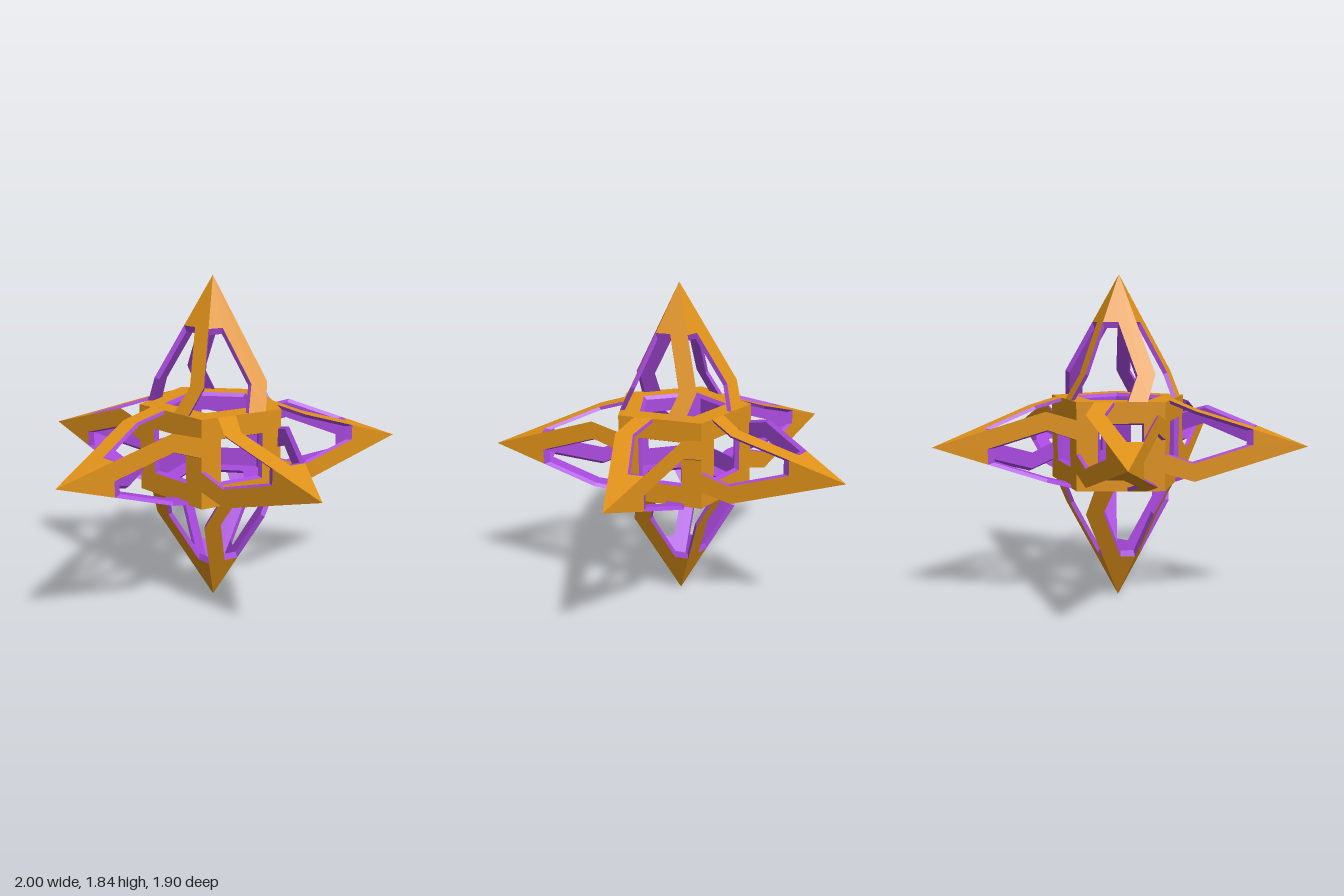
import * as THREE from 'three';

const R = 1.0515, H = 0.92, HALF = 0.24;      // star radius, spike height, core half height
const r = R * 0.382;                          // core pentagon radius
const SHRINK = 0.92;                          // inner skin of the hollow shell
const CENTRE = new THREE.Vector3(0, H, 0.1);

// Cut-out pattern of one spike face: x runs across from the strut edge, y from tip to base
const PATTERN = [[0, 0], [0.385, 0.385], [0.21, 0.385], [0.21, 0.8], [0.42, 1], [0.2, 1], [0, 0.79]]
  .map(p => new THREE.Vector2(...p));
const PATTERN_TRIS = THREE.ShapeUtils.triangulateShape(PATTERN, []);
const QUAD_TRIS = [[0, 1, 2], [0, 2, 3]];

const orange = new THREE.MeshStandardMaterial({ color: 0xe0921a, flatShading: true });
const purple = new THREE.MeshStandardMaterial({ color: 0xaa4ae0, flatShading: true });

const polar = (radius, angle, y) => new THREE.Vector3(radius * Math.sin(angle), y, radius * Math.cos(angle));
const centroid = pts => pts.reduce((s, p) => s.add(p), new THREE.Vector3()).divideScalar(pts.length);

function toMesh(points, material, name) {
  const geometry = new THREE.BufferGeometry().setFromPoints(points);
  geometry.computeVertexNormals();
  const mesh = new THREE.Mesh(geometry, material);
  mesh.name = name;
  return mesh;
}

// One flat plate: outer skin, inner skin and the rim between them
function addPlate(skin, lining, outer, inner, tris) {
  for (const [a, b, c] of tris) {
    skin.push(outer[a], outer[b], outer[c]);
    lining.push(inner[a], inner[c], inner[b]);
  }
  outer.forEach((p, i) => {
    const j = (i + 1) % outer.length;
    lining.push(p, inner[i], inner[j], p, inner[j], outer[j]);
  });
}

function shell(name, build) {
  const skin = [], lining = [];
  build(skin, lining);
  const group = new THREE.Group();
  group.name = name;
  group.add(toMesh(skin, orange, name + 'Skin'), toMesh(lining, purple, name + 'Lining'));
  return group;
}

// Openwork pyramid on a base listed counter-clockwise as seen from the tip
function spike(name, tip, base) {
  const mid = centroid(base);
  return shell(name, (skin, lining) => {
    base.forEach((b0, i) => {
      const b1 = base[(i + 1) % base.length];
      const outer = PATTERN.map(({ x, y }) => tip.clone()
        .addScaledVector(b1.clone().sub(tip), y)
        .addScaledVector(b0.clone().sub(b1), x));
      const inner = outer.map(p => mid.clone().lerp(p, SHRINK));
      addPlate(skin, lining, outer, inner, PATTERN_TRIS);
    });
  });
}

// Core wall with a window, as a ring of trapezoids
function addWindow(skin, lining, corners, inset) {
  const mid = centroid(corners);
  const hole = corners.map(p => p.clone().lerp(mid, inset));
  corners.forEach((p, i) => {
    const j = (i + 1) % corners.length;
    const outer = [p, corners[j], hole[j], hole[i]];
    addPlate(skin, lining, outer, outer.map(q => q.clone().multiplyScalar(SHRINK)), QUAD_TRIS);
  });
}

export function createModel() {
  const model = new THREE.Group();
  const star = new THREE.Group();
  star.name = 'openworkStar';
  star.position.copy(CENTRE);
  model.add(star);

  const step = Math.PI * 2 / 5;
  const top = [], bottom = [], sides = [];
  for (let k = 0; k < 5; k++) {
    top.push(polar(r, k * step, HALF));
    bottom.push(polar(r, k * step, -HALF));
  }
  for (let k = 0; k < 5; k++) {
    const n = (k + 1) % 5;
    sides.push([bottom[k], bottom[n], top[n], top[k]]);
  }
  const under = bottom.slice().reverse();

  // Windowed five-sided core
  star.add(shell('core', (skin, lining) => {
    sides.forEach(s => addWindow(skin, lining, s, 0.48));
    addWindow(skin, lining, top, 0.34);
    addWindow(skin, lining, under, 0.34);
  }));

  // Upper and lower spikes
  star.add(spike('topSpike', new THREE.Vector3(0, H, 0), top));
  star.add(spike('bottomSpike', new THREE.Vector3(0, -H, 0), under));

  // Five arms around the middle
  sides.forEach((s, k) => star.add(spike('arm' + (k + 1), polar(R, (k + 0.5) * step, 0), s)));
  return model;
}
